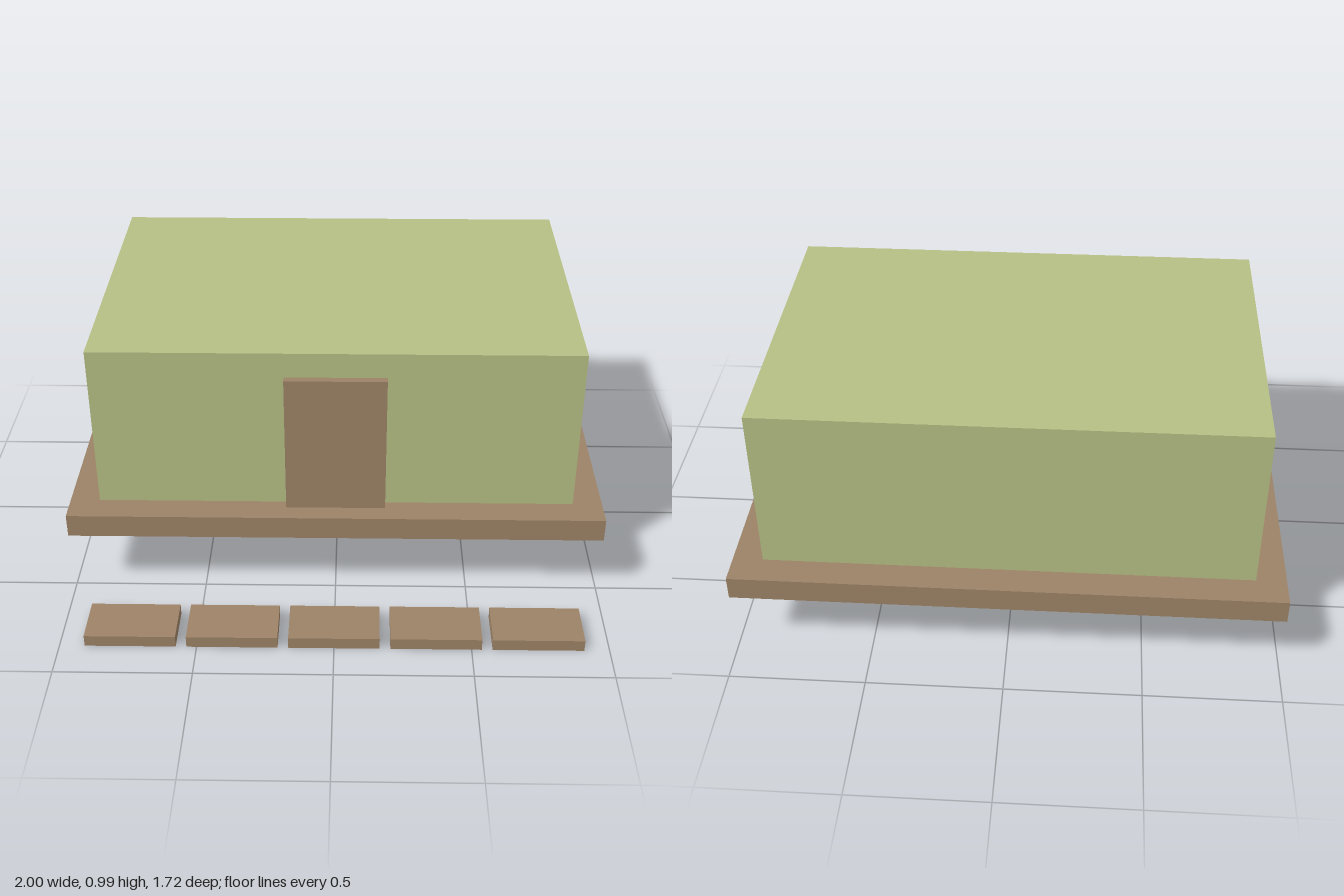
import * as THREE from 'three';

const wood = new THREE.MeshStandardMaterial({ name: 'brown wood', color: 0x9c8266 });
const wall = new THREE.MeshStandardMaterial({ name: 'pale green wall', color: 0xb4be83 });

// Box given by its extents along each axis
function block(name, material, [x0, x1], [y0, y1], [z0, z1]) {
  const mesh = new THREE.Mesh(new THREE.BoxGeometry(x1 - x0, y1 - y0, z1 - z0), material);
  mesh.position.set((x0 + x1) / 2, (y0 + y1) / 2, (z0 + z1) / 2);
  mesh.name = name;
  return mesh;
}

export function createModel() {
  const model = new THREE.Group();
  model.name = 'cabin';

  // Raised deck, cabin body, and door standing just ahead of the front wall
  model.add(
    block('deck', wood, [-1, 1], [0.26, 0.35], [-0.86, 0.543]),
    block('cabinBody', wall, [-0.89, 0.89], [0.35, 0.987], [-0.75, 0.437]),
    block('door', wood, [-0.185, 0.185], [0.35, 0.896], [0.446, 0.474])
  );

  // Row of stepping planks in front
  const planks = new THREE.Group();
  planks.name = 'planks';
  for (let i = -2; i <= 2; i++) {
    const x = i * 0.371;
    planks.add(block('plank', wood, [x - 0.166, x + 0.166], [0, 0.045], [0.677, 0.86]));
  }
  model.add(planks);
  return model;
}
